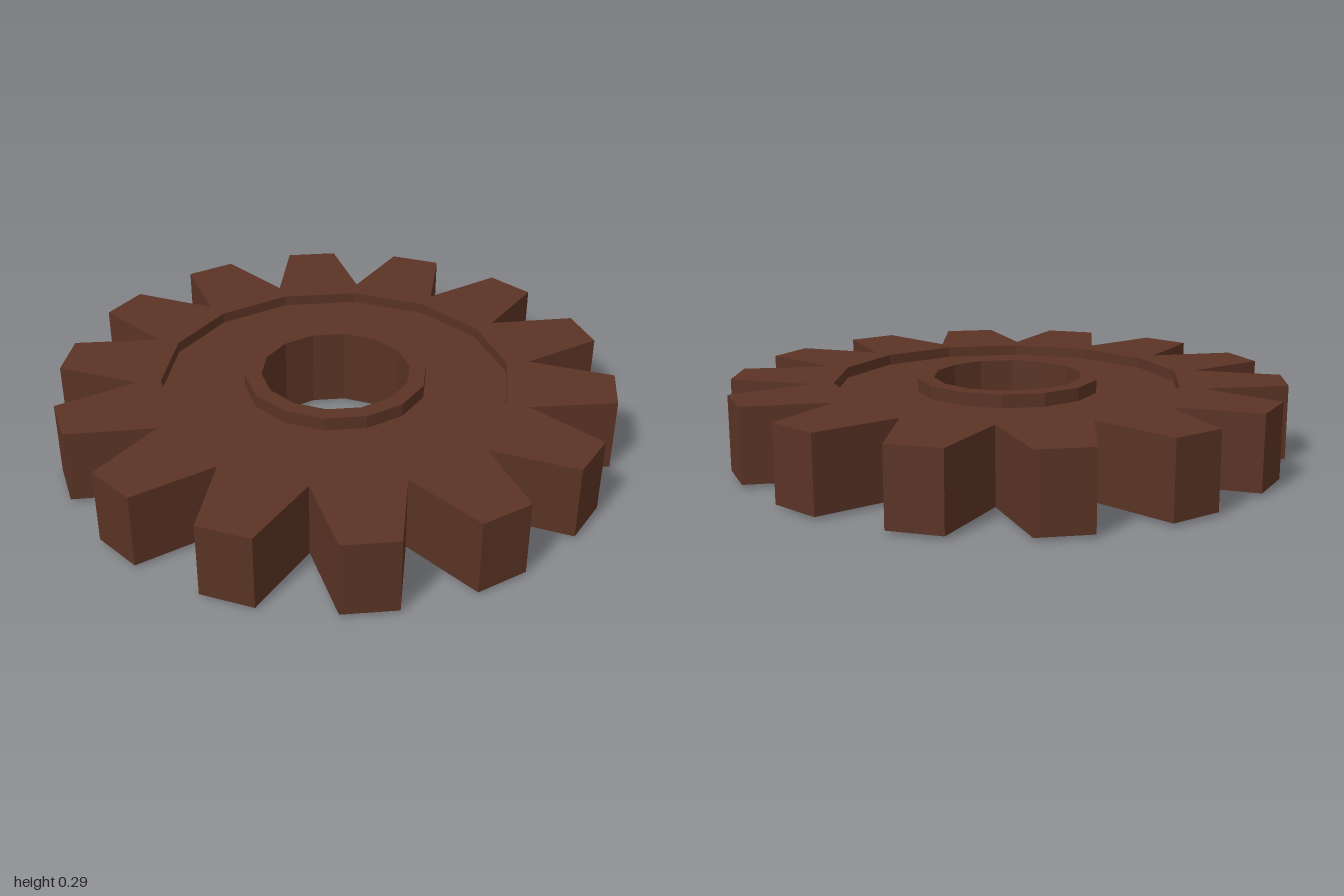
import * as THREE from 'three';

const TEETH = 14;
const STEP = (Math.PI * 2) / TEETH;

export function createModel() {
  const group = new THREE.Group();
  group.name = 'gear';
  const material = new THREE.MeshStandardMaterial({ color: 0x5a3325, flatShading: true });

  const add = (name, geometry) => {
    const mesh = new THREE.Mesh(geometry, material);
    mesh.name = name;
    group.add(mesh);
  };

  const tipRadius = Math.hypot(1, 0.095);
  const tipAngle = Math.atan2(0.095, 1);
  const valleyRadius = 0.71;
  const recessRadius = 0.63;
  const hubRadius = 0.33;
  const boreRadius = 0.27;
  const polar = (r, a) => new THREE.Vector2(r * Math.cos(a), r * Math.sin(a));

  // Toothed rim: flat-tipped teeth meeting in sharp valleys, with a 14-sided opening
  const outline = [];
  const opening = [];
  for (let i = 0; i < TEETH; i++) {
    const a = i * STEP;
    outline.push(
      polar(tipRadius, a - tipAngle),
      polar(tipRadius, a + tipAngle),
      polar(valleyRadius, a + STEP / 2)
    );
    opening.push(polar(recessRadius, a + STEP / 2));
  }
  const shape = new THREE.Shape(outline);
  shape.holes.push(new THREE.Path(opening));
  const rim = new THREE.ExtrudeGeometry(shape, { depth: 0.268, bevelEnabled: false });
  rim.rotateX(-Math.PI / 2).translate(0, 0.011, 0);
  add('toothedRim', rim);

  // Recessed web on both faces, raised hub collar and through bore
  const profile = [
    [recessRadius, 0.24], [hubRadius, 0.24], [hubRadius, 0.288], [boreRadius, 0.288],
    [boreRadius, 0], [hubRadius, 0], [hubRadius, 0.048], [recessRadius, 0.048],
  ].map(([r, y]) => new THREE.Vector2(r, y));
  add('webAndHub', new THREE.LatheGeometry(profile, TEETH));

  return group;
}
